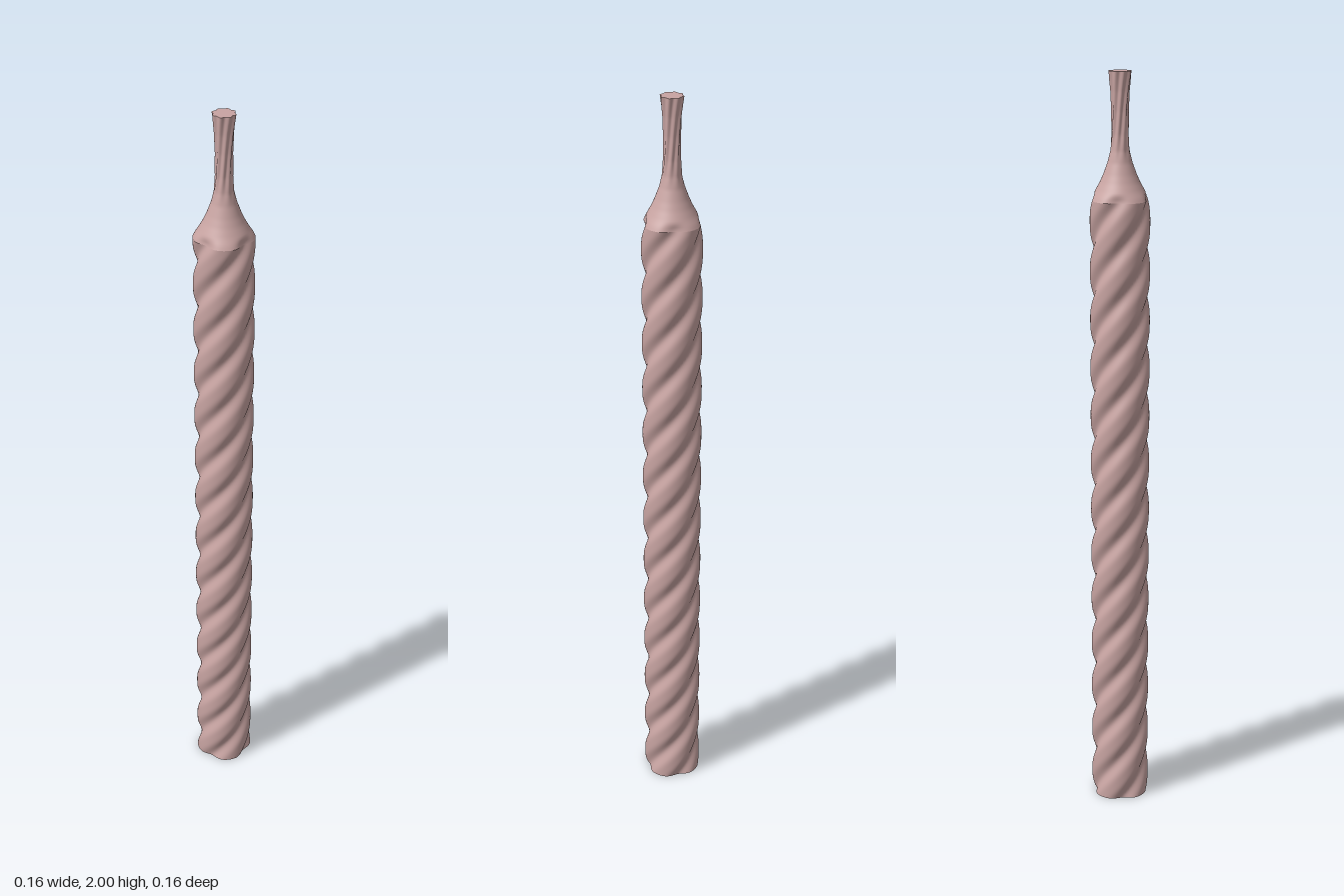
import * as THREE from 'three';

const clay = new THREE.MeshStandardMaterial({ color: 0xc8a4a2 });
clay.name = 'dusty rose';

// Skin of rings whose radius depends on angle and height (angle 0 faces +z)
function loft(name, heights, sides, radius) {
  const pos = [], idx = [];
  for (const y of heights) {
    for (let i = 0; i < sides; i++) {
      const a = (i / sides) * Math.PI * 2, r = radius(a, y);
      pos.push(r * Math.sin(a), y, r * Math.cos(a));
    }
  }
  for (let j = 0; j < heights.length - 1; j++) {
    for (let i = 0; i < sides; i++) {
      const k = (i + 1) % sides;
      const a = j * sides + i, b = j * sides + k, c = a + sides, d = b + sides;
      idx.push(a, b, d, a, d, c);
    }
  }
  const geo = new THREE.BufferGeometry();
  geo.setAttribute('position', new THREE.Float32BufferAttribute(pos, 3));
  geo.setIndex(idx);
  geo.computeVertexNormals();
  const mesh = new THREE.Mesh(geo, clay);
  mesh.name = name;
  return mesh;
}

// Flat end cap following the same outline
function cap(name, y, sides, radius, up) {
  const pts = [];
  for (let i = 0; i < sides; i++) {
    const a = (i / sides) * Math.PI * 2, r = radius(a, y);
    pts.push(new THREE.Vector2(r * Math.sin(a), (up ? -1 : 1) * r * Math.cos(a)));
  }
  const geo = new THREE.ShapeGeometry(new THREE.Shape(pts));
  geo.rotateX(up ? -Math.PI / 2 : Math.PI / 2);
  geo.translate(0, y, 0);
  const mesh = new THREE.Mesh(geo, clay);
  mesh.name = name;
  return mesh;
}

const range = (a, b, n) => Array.from({ length: n + 1 }, (_, i) => a + ((b - a) * i) / n);

export function createModel() {
  const group = new THREE.Group();
  group.name = 'twistedRod';
  const TOP = 1.675, PITCH = 0.52;

  // Four right-handed spiral grooves
  const groove = (a, y) => {
    const phase = 4 * (a - 0.34 - (Math.PI * 2 * (y - TOP)) / PITCH);
    return Math.pow(0.5 + 0.5 * Math.cos(phase), 2);
  };
  const shaftRadius = (a, y) => 0.078 - 0.012 * groove(a, y);
  group.add(loft('twistedShaft', range(0, TOP, 200), 96, shaftRadius));
  group.add(cap('shaftBase', 0, 96, shaftRadius, false));

  // Flared shoulder that narrows into a fluted stem
  const profile = [
    [1.675, 0.078], [1.685, 0.073], [1.70, 0.063], [1.72, 0.052], [1.74, 0.043],
    [1.77, 0.032], [1.80, 0.025], [1.84, 0.0215], [1.90, 0.021], [1.95, 0.0235], [2, 0.029],
  ];
  const baseRadius = (y) => {
    let i = 0;
    while (i < profile.length - 2 && y > profile[i + 1][0]) i++;
    const [y0, r0] = profile[i], [y1, r1] = profile[i + 1];
    return r0 + ((r1 - r0) * (y - y0)) / (y1 - y0);
  };
  const neckRadius = (a, y) => {
    const flute = 0.08 * THREE.MathUtils.smoothstep(y, 1.76, 1.86);
    const notch = 0.012 * groove(a, TOP) * (1 - THREE.MathUtils.smoothstep(y, TOP, 1.70));
    return baseRadius(y) * (1 + flute * (Math.cos(8 * (a - (y - 2) * 4)) - 0.3)) - notch;
  };
  group.add(loft('neck', range(TOP, 2, 65), 96, neckRadius));
  group.add(cap('neckTip', 2, 96, neckRadius, true));
  return group;
}
